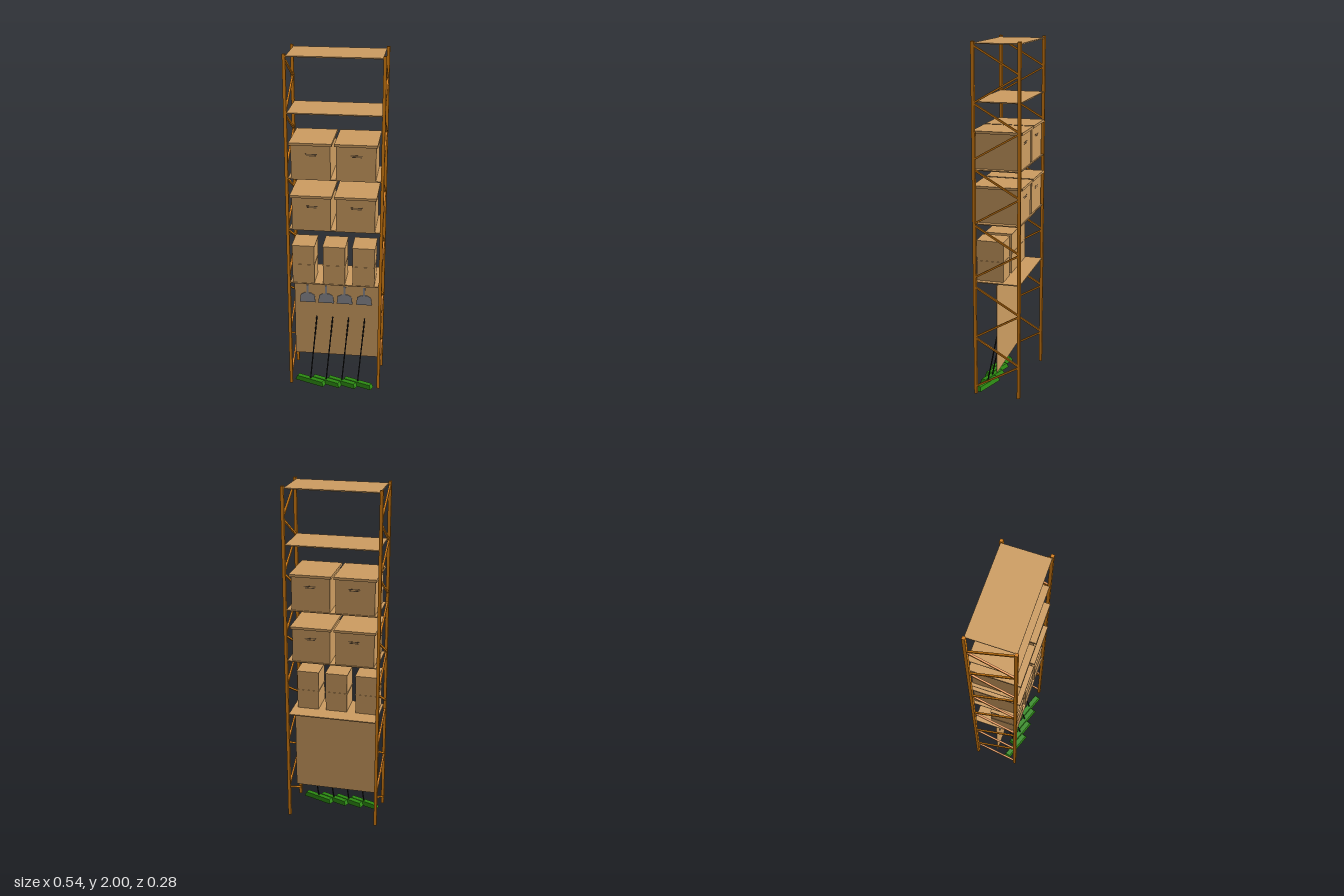
import * as THREE from 'three';

const mat = (name, color, extra = {}) =>
  Object.assign(new THREE.MeshStandardMaterial({ color, ...extra }), { name });

export function createModel() {
  const orange = mat('orange steel', 0xd98012);
  const card = mat('cardboard tan', 0xcd9d61);
  const grey = mat('shovel grey', 0x85858a);
  const green = mat('broom green', 0x2c8a12);
  const black = mat('handle black', 0x1c1c1c);
  const brown = mat('slot brown', 0x5e4a34);

  const root = new THREE.Group();
  root.name = 'storageRack';

  const add = (parent, name, geometry, material, x = 0, y = 0, z = 0) => {
    const mesh = new THREE.Mesh(geometry, material);
    mesh.name = name;
    mesh.position.set(x, y, z);
    parent.add(mesh);
    return mesh;
  };
  const box = (parent, name, material, w, h, d, x, y, z) =>
    add(parent, name, new THREE.BoxGeometry(w, h, d), material, x, y, z);
  const group = (name, x = 0, y = 0, z = 0) => {
    const g = new THREE.Group();
    g.name = name;
    g.position.set(x, y, z);
    root.add(g);
    return g;
  };

  // Upright frames: two posts and six V-shaped braces on each side
  const zFront = 0.12, zBack = -0.133;
  const braceTops = [1.98, 1.68, 1.325, 1.015, 0.66, 0.355];
  for (const side of [-1, 1]) {
    const frame = group(side > 0 ? 'leftFrame' : 'rightFrame', side * 0.262);
    for (const z of [zFront, zBack]) box(frame, 'post', orange, 0.017, 1.988, 0.017, 0, 1.006, z);
    const brace = (y0, y1) => {
      const dz = zBack - zFront, dy = y1 - y0;
      const bar = box(frame, 'brace', orange, 0.01, 0.01, Math.hypot(dz, dy),
        0, (y0 + y1) / 2, (zFront + zBack) / 2);
      bar.rotation.x = -Math.atan2(dy, dz);
    };
    for (const top of braceTops) {
      brace(top, top - 0.147);
      brace(top - 0.3, top - 0.153);
    }
  }

  // Shelf boards
  for (const y of [0.685, 1.02, 1.32, 1.685, 1.987])
    box(root, 'shelf', card, 0.508, 0.006, 0.257, 0, y, -0.0065);

  // Large lidded boxes, two on each of two shelves
  for (const y of [1.022, 1.322]) {
    for (const x of [-0.129, 0.118]) {
      const carton = group('lidBox', x, y, 0);
      box(carton, 'body', card, 0.215, 0.194, 0.252, 0, 0.097, -0.003);
      box(carton, 'lid', card, 0.233, 0.014, 0.282, 0, 0.2, -0.001);
      for (const z of [0.1235, -0.1295]) {
        box(carton, 'gripSlot', brown, 0.066, 0.004, 0.002, 0.004, 0.142, z);
        box(carton, 'gripSlot', brown, 0.054, 0.004, 0.002, 0.004, 0.133, z);
      }
    }
  }

  // Small cartons stacked in pairs
  for (const x of [-0.178, -0.003, 0.165]) {
    for (const y of [0.688, 0.804]) {
      const carton = group('smallBox', x, y, 0.042);
      box(carton, 'body', card, 0.125, 0.112, 0.154, 0, 0.056, 0);
      box(carton, 'flaps', card, 0.131, 0.004, 0.158, 0, 0.114, 0);
    }
  }

  // Tool panel below the lowest shelf
  box(root, 'toolPanel', card, 0.504, 0.52, 0.004, 0, 0.41, -0.002);

  // Shovel blades hanging on the panel
  const half = [[0.047, 0], [0.041, 0.046], [0.018, 0.06], [0.006, 0.06], [0.006, 0.11]];
  const outline = [...half, ...half.map(([x, y]) => [-x, y]).reverse()];
  const blade = new THREE.ExtrudeGeometry(
    new THREE.Shape(outline.map(([x, y]) => new THREE.Vector2(x, y))),
    { depth: 0.004, bevelEnabled: false });
  for (const x of [-0.174, -0.064, 0.046, 0.161]) {
    const shovel = add(root, 'shovel', blade, grey, x, 0.505, 0.006);
    shovel.rotation.x = -0.04;
  }

  // Brooms: flared head, socket and a handle leaning back against the panel
  const profile = new THREE.Shape([[-0.095, 0], [0.095, 0], [0.085, 0.026], [-0.085, 0.026]]
    .map(([x, y]) => new THREE.Vector2(x, y)));
  const head = new THREE.ExtrudeGeometry(profile, { depth: 0.04, bevelEnabled: false });
  head.translate(0, 0, -0.02);
  // Narrow the head toward its top
  const p = head.attributes.position;
  for (let i = 0; i < p.count; i++) if (p.getY(i) > 0.01) p.setZ(i, p.getZ(i) * 0.7);
  head.computeVertexNormals();
  const start = new THREE.Vector3(0, 0.02, 0), end = new THREE.Vector3(0, 0.406, -0.088);
  const pole = new THREE.TubeGeometry(new THREE.LineCurve3(start, end), 1, 0.004, 8);
  for (const x of [-0.15, -0.055, 0.04, 0.136]) {
    const broom = group('broom', x, 0.003, 0.09);
    broom.rotation.y = -0.35;
    add(broom, 'head', head, green);
    add(broom, 'handle', pole, black);
    const tip = add(broom, 'handleTip', new THREE.SphereGeometry(0.004, 8, 6), black);
    tip.position.copy(end);
  }

  return root;
}
